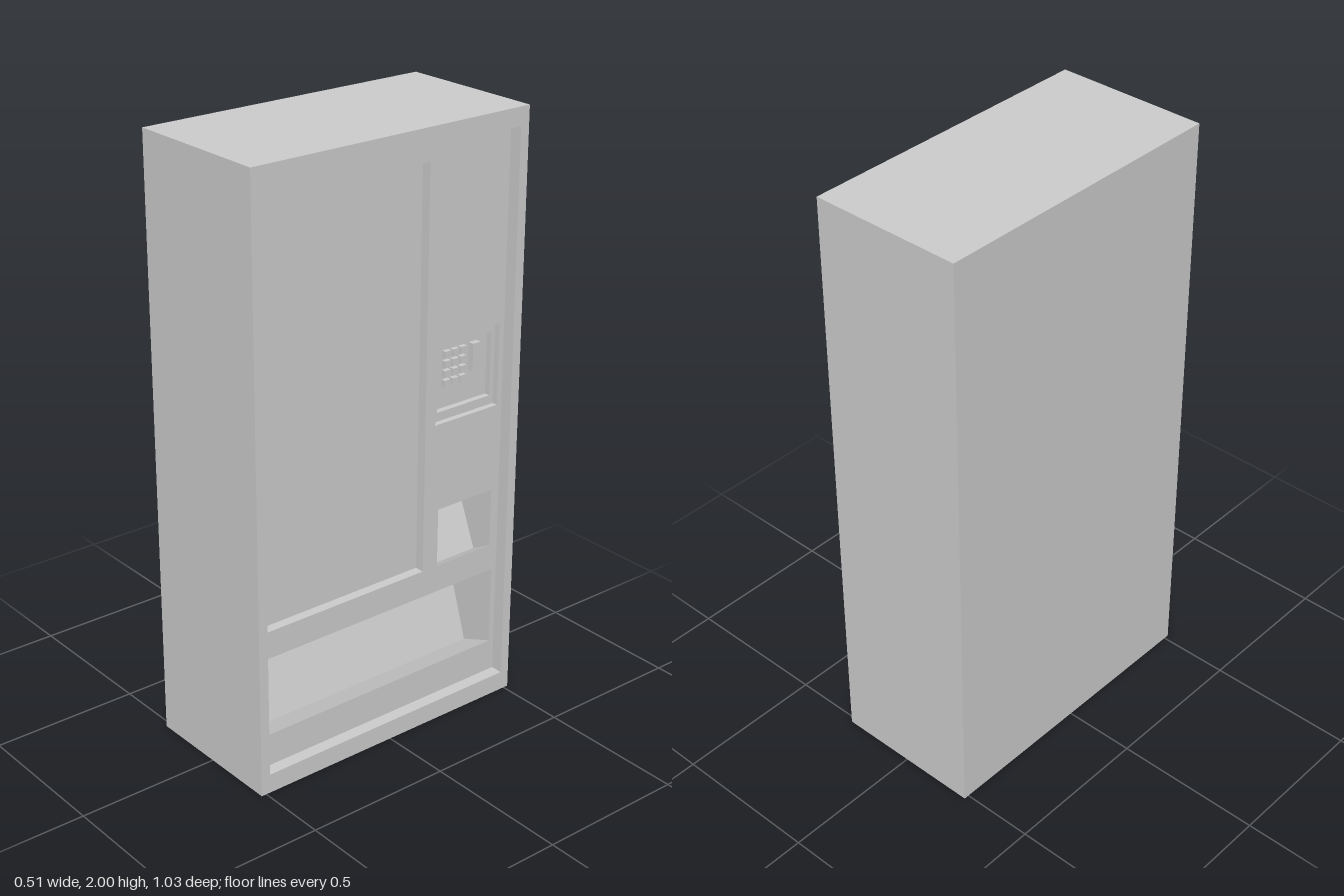
import * as THREE from 'three';

const material = new THREE.MeshStandardMaterial({ color: 0xcccccc });

// The decorated side faces +x: u runs right across it (u = -z), v runs up.
const rect = (u0, u1, v0, v1) => ({ u0, u1, v0, v1 });
const corners = (r) => [[r.u0, r.v0], [r.u1, r.v0], [r.u1, r.v1], [r.u0, r.v1]];

function add(group, name, geometry) {
  const mesh = new THREE.Mesh(geometry, material);
  mesh.name = name;
  group.add(mesh);
  return mesh;
}

// Flat panel at depth x with rectangular openings
function panel(x, r, holes = []) {
  const points = (q) => corners(q).map(([u, v]) => new THREE.Vector2(u, v));
  const shape = new THREE.Shape(points(r));
  for (const h of holes) shape.holes.push(new THREE.Path(points(h).reverse()));
  return new THREE.ShapeGeometry(shape).rotateY(Math.PI / 2).translate(x, 0, 0);
}

// Flat-shaded quads, each corner given as [x, u, v]
function quads(list) {
  const positions = [];
  for (const [a, b, c, d] of list) {
    for (const [x, u, v] of [a, b, c, a, c, d]) positions.push(x, v, -u);
  }
  const geometry = new THREE.BufferGeometry();
  geometry.setAttribute('position', new THREE.Float32BufferAttribute(positions, 3));
  geometry.computeVertexNormals();
  return geometry;
}

// Four inward-facing walls of a rectangular recess
function recessWalls(r, front, back) {
  const c = corners(r);
  return quads(c.map((a, i) => {
    const b = c[(i + 1) % 4];
    return [[front, ...a], [front, ...b], [back, ...b], [back, ...a]];
  }));
}

// Hopper: a profile of [x, v] points swept across u, closed at both ends
function hopper(r, profile) {
  const list = [];
  for (let i = 0; i < profile.length - 1; i++) {
    const [x0, v0] = profile[i], [x1, v1] = profile[i + 1];
    list.push([[x0, r.u1, v0], [x0, r.u0, v0], [x1, r.u0, v1], [x1, r.u1, v1]]);
  }
  const end = (u) => profile.map(([x, v]) => [x, u, v]);
  list.push(end(r.u1), end(r.u0).reverse());
  return quads(list);
}

export function createModel() {
  const model = new THREE.Group();
  model.name = 'vendingMachine';

  const W = 0.2575, D = 0.5175;
  const doorX = 0.215, windowX = 0.182, bezelX = 0.195, keypadX = 0.175;
  const outer = rect(-D, D, 0, 2);
  const door = rect(-0.485, 0.485, 0.065, 1.94);
  const display = rect(-0.455, 0.165, 0.535, 1.88);
  const bezel = rect(0.205, 0.465, 1.03, 1.305);
  const keypad = rect(0.23, 0.45, 1.06, 1.275);
  const coinTray = rect(0.225, 0.453, 0.535, 0.735);
  const pickup = rect(-0.47, 0.465, 0.175, 0.443);

  // Cabinet: box without its +x face, which the frame replaces
  const cabinet = new THREE.BoxGeometry(2 * W, 2, 2 * D).translate(0, 1, 0);
  cabinet.setIndex(Array.from(cabinet.index.array).slice(6));
  cabinet.clearGroups();
  add(model, 'cabinet', cabinet);
  add(model, 'frame', panel(W, outer, [door]));
  add(model, 'frameReveal', recessWalls(door, W, doorX));
  add(model, 'door', panel(doorX, door, [display, bezel, coinTray, pickup]));

  // Display window
  add(model, 'windowReveal', recessWalls(display, doorX, windowX));
  add(model, 'windowPane', panel(windowX, display));

  // Stepped keypad recess
  const controls = new THREE.Group();
  controls.name = 'controls';
  model.add(controls);
  add(controls, 'bezelReveal', recessWalls(bezel, doorX, bezelX));
  add(controls, 'bezel', panel(bezelX, bezel, [keypad]));
  add(controls, 'keypadReveal', recessWalls(keypad, bezelX, keypadX));
  add(controls, 'keypadPlate', panel(keypadX, keypad));

  // Keys and the upright coin slot plate
  const keyGeometry = new THREE.BoxGeometry(0.03, 0.023, 0.024);
  for (let row = 0; row < 4; row++) {
    for (let col = 0; col < 3; col++) {
      add(controls, 'key', keyGeometry)
        .position.set(keypadX, 1.241 - row * 0.032, -0.276 - col * 0.0325);
    }
  }
  add(controls, 'coinSlot', new THREE.BoxGeometry(0.04, 0.093, 0.032))
    .position.set(keypadX, 1.207, -0.39);

  // Hoppers with sloping ceilings, backs and floors
  add(model, 'coinTray', hopper(coinTray,
    [[doorX, 0.735], [0.06, 0.685], [0.14, 0.495], [doorX, 0.535]]));
  add(model, 'pickupTray', hopper(pickup,
    [[doorX, 0.443], [0.01, 0.385], [0.094, 0.128], [doorX, 0.175]]));

  return model;
}
